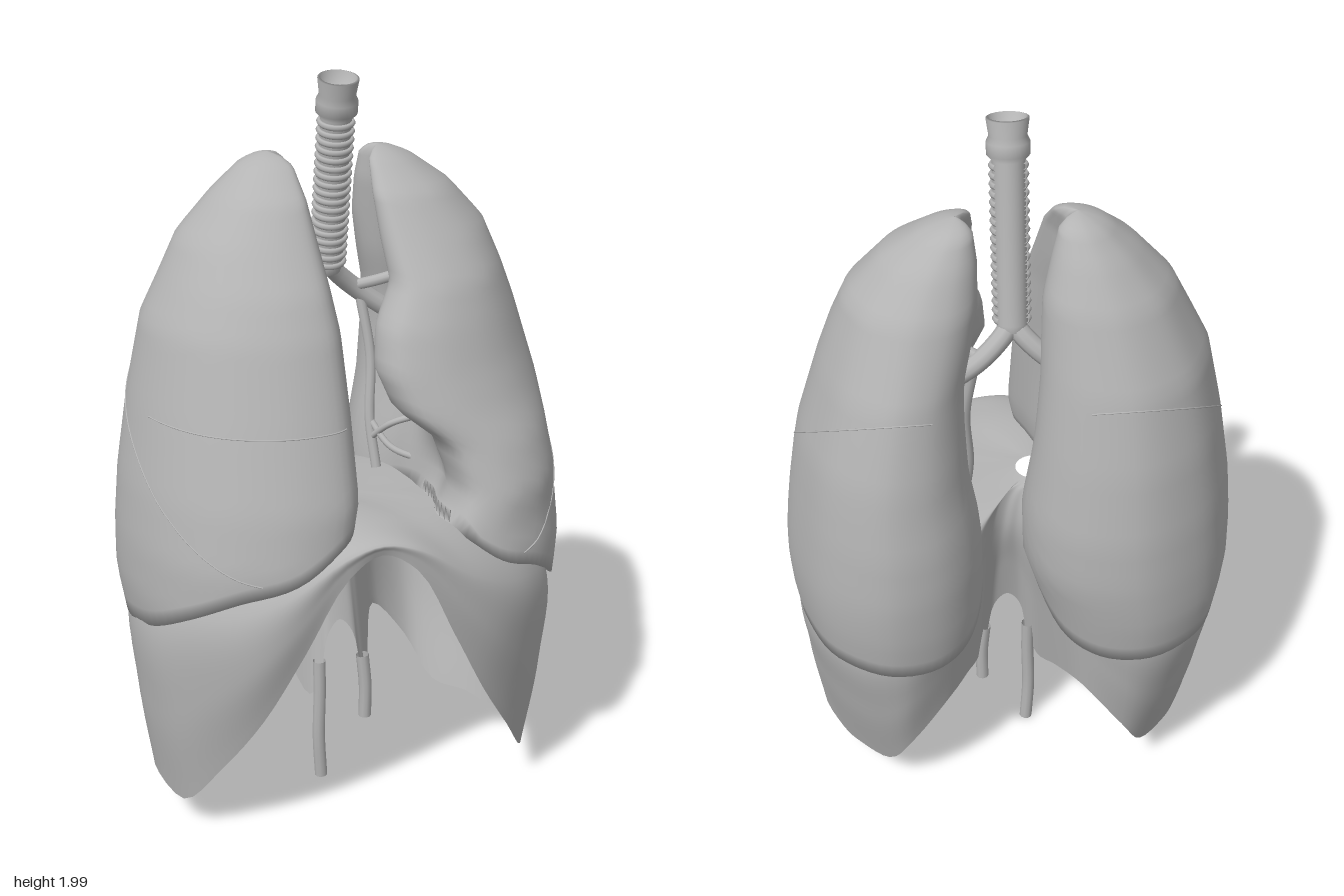
import * as THREE from 'three';

const V = (x, y, z) => new THREE.Vector3(x, y, z);
const lerp = THREE.MathUtils.lerp;
const tissue = new THREE.MeshStandardMaterial({ color: 0xb4b4b4, side: THREE.DoubleSide });
tissue.name = 'grey tissue';

function addMesh(parent, name, geometry) {
  const m = new THREE.Mesh(geometry, tissue);
  m.name = name;
  parent.add(m);
  return m;
}

// Skin over a stack of closed rings
function skin(rings) {
  const n = rings[0].length, index = [];
  for (let r = 0; r < rings.length - 1; r++) {
    for (let i = 0; i < n; i++) {
      const a = r * n + i, b = r * n + (i + 1) % n;
      index.push(a, b, a + n, b, b + n, a + n);
    }
  }
  const g = new THREE.BufferGeometry().setFromPoints(rings.flat());
  g.setIndex(index);
  g.computeVertexNormals();
  return g;
}

function tube(parent, name, points, radius, segments = 24) {
  return addMesh(parent, name,
    new THREE.TubeGeometry(new THREE.CatmullRomCurve3(points), segments, radius, 10));
}

// Lung outline seen from above: (medial 0 to lateral 1, lower rim height, back -1 to front 1)
const OUTLINE = new THREE.CatmullRomCurve3([
  [.3, .83, 1], [.55, .785, .92], [.75, .72, .74], [.92, .64, .4], [1, .595, -.05], [.95, .595, -.4],
  [.8, .6, -.78], [.52, .6, -1], [.26, .6, -.95], [.08, .64, -.74], [.02, .8, -.4], [.15, .88, -.1],
  [.18, .91, .15], [.07, .92, .45], [0, .92, .7], [.08, .91, .94],
].map(p => V(...p)), true);

// Height, front medial x, back medial x, lateral x
const RIGHT_WIDTHS = [
  [1.795, .155, .155, .157], [1.79, .13, .13, .185], [1.77, .105, .105, .23], [1.7, .09, .085, .31],
  [1.6, .075, .06, .4], [1.4, .045, .05, .5], [1.2, .035, .03, .545], [1, .03, .005, .58],
  [.85, .06, .01, .595], [.72, .1, .05, .597], [.58, .14, .08, .575],
];
const LEFT_WIDTHS = [
  [1.795, .135, .135, .137], [1.79, .115, .115, .17], [1.77, .095, .095, .22], [1.7, .085, .085, .32],
  [1.6, .09, .085, .41], [1.5, .1, .1, .45], [1.4, .05, .12, .485], [1.3, .04, .12, .515],
  [1.2, .08, .115, .545], [1.12, .18, .11, .56], [1, .22, .09, .578], [.9, .17, .08, .59],
  [.8, .2, .08, .597], [.7, .2, .08, .592], [.58, .2, .09, .575],
];
// Height, front z, back z
const DEPTHS = [
  [1.795, -.1, -.102], [1.79, -.06, -.14], [1.77, -.02, -.175], [1.7, .07, -.225], [1.6, .14, -.28],
  [1.5, .21, -.315], [1.4, .26, -.35], [1.2, .33, -.39], [1, .395, -.415], [.85, .42, -.42],
  [.72, .41, -.41], [.58, .395, -.385],
];

function sample(table, y) {
  let i = 0;
  while (i < table.length - 2 && table[i + 1][0] > y) i++;
  const a = table[i], b = table[i + 1];
  const t = THREE.MathUtils.clamp((a[0] - y) / (a[0] - b[0]), 0, 1);
  return a.map((v, k) => lerp(v, b[k], t));
}

// Point on the lung surface for an outline point and height
function lungPoint(side, widths, o, y) {
  const [, front, back, lateral] = sample(widths, y);
  const [, zf, zb] = sample(DEPTHS, y);
  const medial = lerp(back, front, THREE.MathUtils.smoothstep(o.z, 0, .6));
  // Hollow where the airway enters
  const hilum = .07 * Math.exp(-(((y - 1.25) / .2) ** 2) - (o.z / .3) ** 2) * Math.max(0, 1 - 3 * o.x);
  return V(side * (lerp(medial, lateral, o.x) + hilum), y, lerp(zb, zf, (o.z + 1) / 2));
}

function makeLung(name, side, widths) {
  const lung = new THREE.Group();
  lung.name = name;
  const outline = OUTLINE.getPoints(80).slice(0, -1);
  const rows = 40, rings = [];
  for (let r = 0; r <= rows; r++) {
    const t = Math.pow(r / rows, 1.6);
    rings.push(outline.map(o => lungPoint(side, widths, o, lerp(1.795, o.y, t))));
  }
  // Lip turned in under the lower rim
  rings.push(rings[rows].map(p => V(lerp(p.x, side * .32, .07), p.y + .03, lerp(p.z, 0, .06))));
  addMesh(lung, name + 'Body', skin(rings));

  // Fissures: fine seams running around the outer surface
  function fissure(label, from, to, height) {
    const pts = [];
    for (let i = 0; i <= 30; i++) {
      const o = OUTLINE.getPoint(lerp(from, to, i / 30));
      let p = lungPoint(side, widths, o, 1.1);
      for (let k = 0; k < 12; k++) {
        p = lungPoint(side, widths, o, lerp(p.y, height(p), .5));
      }
      pts.push(p);
    }
    tube(lung, label, pts, .002, 60);
  }
  fissure('obliqueFissure', .04, .5, p => 1.125 - .72 * p.z);
  if (side < 0) fissure('horizontalFissure', -.07, .2, () => 1.19);
  return lung;
}

// Diaphragm: half rim and half shoulder, from front centre round to back centre
const RIM = [
  [0, .88, .4], [.09, .83, .41], [.2, .62, .39], [.3, .42, .35], [.4, .25, .28], [.485, .11, .18],
  [.535, .14, .04], [.485, .1, -.06], [.435, .11, -.14], [.36, .12, -.215], [.29, .25, -.28],
  [.18, .385, -.25], [.125, .34, -.12], [.085, .27, .01], [.06, .33, .03], [.035, .46, .025], [0, .5, .02],
];
const SHOULDER = [
  [0, .91, .41], [.1, .885, .415], [.24, .79, .4], [.36, .73, .35], [.46, .7, .27], [.54, .66, .16],
  [.565, .65, .03], [.55, .65, -.12], [.48, .65, -.26], [.38, .65, -.345], [.27, .66, -.355],
  [.16, .71, -.28], [.09, .76, -.15], [.06, .78, -.08], [.04, .8, -.06], [.02, .8, -.05], [0, .8, -.05],
];

function mirroredLoop(half, count) {
  const other = half.slice(1, -1).reverse().map(([x, y, z]) => [-x, y, z]);
  const curve = new THREE.CatmullRomCurve3([...half, ...other].map(p => V(...p)), true);
  return Array.from({ length: count }, (_, i) => curve.getPoint(i / count));
}

function makeDiaphragm() {
  const group = new THREE.Group();
  group.name = 'diaphragm';
  const n = 128, rim = mirroredLoop(RIM, n), shoulder = mirroredLoop(SHOULDER, n);
  const columns = rim.map((p, i) => {
    // Columns start at the round opening for the great vein
    const a = 2 * Math.PI * i / n, s = shoulder[i];
    const top = V(-.075 + .05 * Math.sin(a), .93, .04 + .05 * Math.cos(a));
    const dome = top.clone().lerp(s, .65);
    dome.y = lerp(.94, s.y, .22);
    const wall = s.clone().lerp(p, .5);
    const bulge = THREE.MathUtils.smoothstep(Math.abs(wall.x), .1, .35);
    wall.x *= 1 + .03 * bulge;
    wall.z *= 1 + .07 * bulge;
    return new THREE.CatmullRomCurve3([top, dome, s, wall, p], false, 'centripetal').getPoints(28);
  });
  addMesh(group, 'diaphragmSheet', skin(columns[0].map((_, r) => columns.map(c => c[r]))));
  // Crura: the two tendons hanging at the back, the right one longer
  tube(group, 'rightCrus', [V(-.06, .38, .022), V(-.06, .28, .025), V(-.063, .14, .025), V(-.056, .01, .022)], .018);
  tube(group, 'leftCrus', [V(.065, .38, .022), V(.073, .28, .025), V(.072, .185, .025)], .018);
  return group;
}

function makeTrachea() {
  const airway = new THREE.Group();
  airway.name = 'airway';
  const trachea = new THREE.Group();
  trachea.name = 'trachea';
  trachea.position.set(0, 1.47, -.1);
  trachea.rotation.x = .2;
  airway.add(trachea);
  // Windpipe with a wider, dished collar at the top
  const profile = [[.034, 0], [.04, .02], [.04, .43], [.053, .445], [.053, .475], [.046, .49], [.052, .532],
    [.046, .534], [.036, .5], [0, .49]].map(p => new THREE.Vector2(...p));
  addMesh(trachea, 'windpipe', new THREE.LatheGeometry(profile, 28));
  // Cartilage rings, open at the flat back
  const ringShape = new THREE.TorusGeometry(.041, .008, 6, 24, Math.PI * 1.4);
  ringShape.rotateZ(-Math.PI * .2).rotateX(Math.PI / 2);
  for (let i = 0; i < 18; i++) {
    addMesh(trachea, 'cartilageRing', ringShape).position.y = .03 + i * .0228;
  }
  // Main bronchi with smaller branches into each lung
  for (const s of [1, -1]) {
    tube(airway, 'mainBronchus',
      [V(0, 1.49, -.1), V(s * .035, 1.45, -.12), V(s * .09, 1.4, -.135), V(s * .2, 1.32, -.13)], .026);
    tube(airway, 'upperBranch', [V(s * .08, 1.41, -.13), V(s * .14, 1.43, -.1), V(s * .24, 1.46, -.08)], .015);
    tube(airway, 'lowerBranch',
      [V(s * .1, 1.38, -.13), V(s * .12, 1.22, -.1), V(s * .11, 1.05, -.07), V(s * .12, .92, -.04)], .014);
  }
  tube(airway, 'lingularBranch', [V(.11, 1.0, -.06), V(.15, 1.06, 0), V(.24, 1.1, .05)], .009);
  tube(airway, 'basalBranch', [V(.11, 1.05, -.07), V(.15, .99, 0), V(.24, .96, .06)], .009);
  return airway;
}

export function createModel() {
  const model = new THREE.Group();
  model.name = 'lungsAndDiaphragm';
  model.add(
    makeLung('rightLung', -1, RIGHT_WIDTHS),
    makeLung('leftLung', 1, LEFT_WIDTHS),
    makeDiaphragm(),
    makeTrachea(),
  );
  return model;
}
